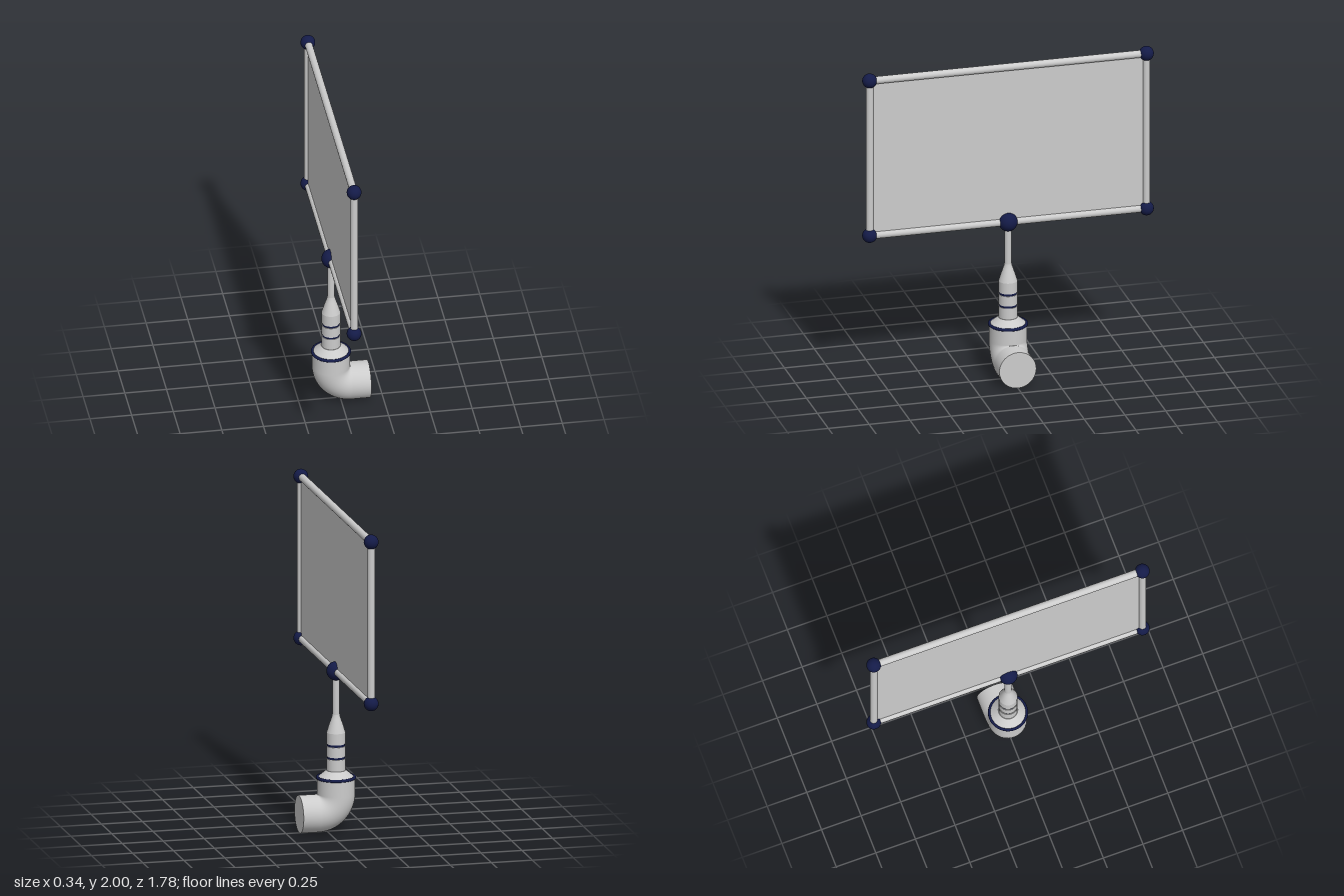
import * as THREE from 'three';

const AXIS_X = -0.055;
const grey = new THREE.MeshStandardMaterial({ color: 0xcccccc });
const navy = new THREE.MeshStandardMaterial({ color: 0x141b48 });

export function createModel() {
  const group = new THREE.Group();

  function add(name, geometry, material, x, y, z) {
    const mesh = new THREE.Mesh(geometry, material);
    mesh.name = name;
    mesh.position.set(x, y, z);
    group.add(mesh);
    return mesh;
  }

  // Pipe elbow: vertical socket, quarter bend, horizontal outlet towards +x
  const R = 0.113, bend = 0.115, endX = 0.17, topY = 0.325;
  const bendX = AXIS_X + bend, bendY = R + bend;
  const arc = [];
  for (let i = 0; i <= 16; i++) {
    const a = Math.PI + (i / 16) * (Math.PI / 2);
    arc.push([bendX + bend * Math.cos(a), bendY + bend * Math.sin(a), a]);
  }
  // Cross-section rings: centre x, y and angle of the section plane
  const sections = [[AXIS_X, topY, Math.PI], ...arc, [endX, R, 1.5 * Math.PI]];
  const sides = 40, pos = [], idx = [];
  sections.forEach(([cx, cy, a], i) => {
    for (let j = 0; j <= sides; j++) {
      const t = (j / sides) * Math.PI * 2, u = R * Math.cos(t);
      pos.push(cx + u * Math.cos(a), cy + u * Math.sin(a), R * Math.sin(t));
      if (i < sections.length - 1 && j < sides) {
        const p = i * (sides + 1) + j, q = p + sides + 1;
        idx.push(p, p + 1, q, p + 1, q + 1, q);
      }
    }
  });
  const elbowGeometry = new THREE.BufferGeometry();
  elbowGeometry.setAttribute('position', new THREE.Float32BufferAttribute(pos, 3));
  elbowGeometry.setIndex(idx);
  elbowGeometry.computeVertexNormals();
  const elbowMaterial = grey.clone();
  elbowMaterial.side = THREE.DoubleSide;
  add('elbow', elbowGeometry, elbowMaterial, 0, 0, 0);
  add('elbowEndCap', new THREE.CircleGeometry(R, sides), grey, endX, R, 0).rotation.y = Math.PI / 2;

  // Collar ring and conical cap on the socket
  add('collarRing', new THREE.TorusGeometry(0.11, 0.009, 12, 48), navy, AXIS_X, 0.326, 0).rotation.x = Math.PI / 2;
  add('collarCone', new THREE.CylinderGeometry(0.058, R, 0.045, 40), grey, AXIS_X, 0.3475, 0);

  // Grip: three drums separated by dark bands, then a taper into the stem
  for (const [y0, y1] of [[0.37, 0.441], [0.454, 0.517], [0.531, 0.6]]) {
    add('gripDrum', new THREE.CylinderGeometry(0.056, 0.056, y1 - y0, 36), grey, AXIS_X, (y0 + y1) / 2, 0);
  }
  for (const y of [0.4475, 0.524]) {
    add('gripBand', new THREE.CylinderGeometry(0.052, 0.052, 0.016, 36), navy, AXIS_X, y, 0);
  }
  const taper = [[0.056, 0.6], [0.041, 0.648], [0.03, 0.68], [0.025, 0.695], [0.022, 0.71]];
  add('gripTaper', new THREE.LatheGeometry(taper.map(p => new THREE.Vector2(...p)), 36), grey, AXIS_X, 0, 0);
  add('stem', new THREE.CylinderGeometry(0.022, 0.022, 0.27, 24), grey, AXIS_X, 0.835, 0);

  // Frame: rails, posts and ball joints
  const lowY = 0.973, highY = 1.958, halfZ = 0.848, rod = 0.0225;
  const midY = (lowY + highY) / 2;
  add('hubBall', new THREE.SphereGeometry(0.057, 32, 20), navy, AXIS_X, lowY, 0);
  for (const y of [lowY, highY]) {
    add('rail', new THREE.CylinderGeometry(rod, rod, 2 * halfZ, 24), grey, AXIS_X, y, 0).rotation.x = Math.PI / 2;
    for (const s of [-1, 1]) {
      add('cornerBall', new THREE.SphereGeometry(0.044, 28, 18), navy, AXIS_X, y, s * halfZ);
    }
  }
  for (const s of [-1, 1]) {
    add('post', new THREE.CylinderGeometry(rod, rod, highY - lowY, 24), grey, AXIS_X, midY, s * halfZ);
  }

  // Thin panel filling the frame
  add('panel', new THREE.BoxGeometry(0.008, highY - lowY, 2 * halfZ), grey, AXIS_X, midY, 0);

  return group;
}
